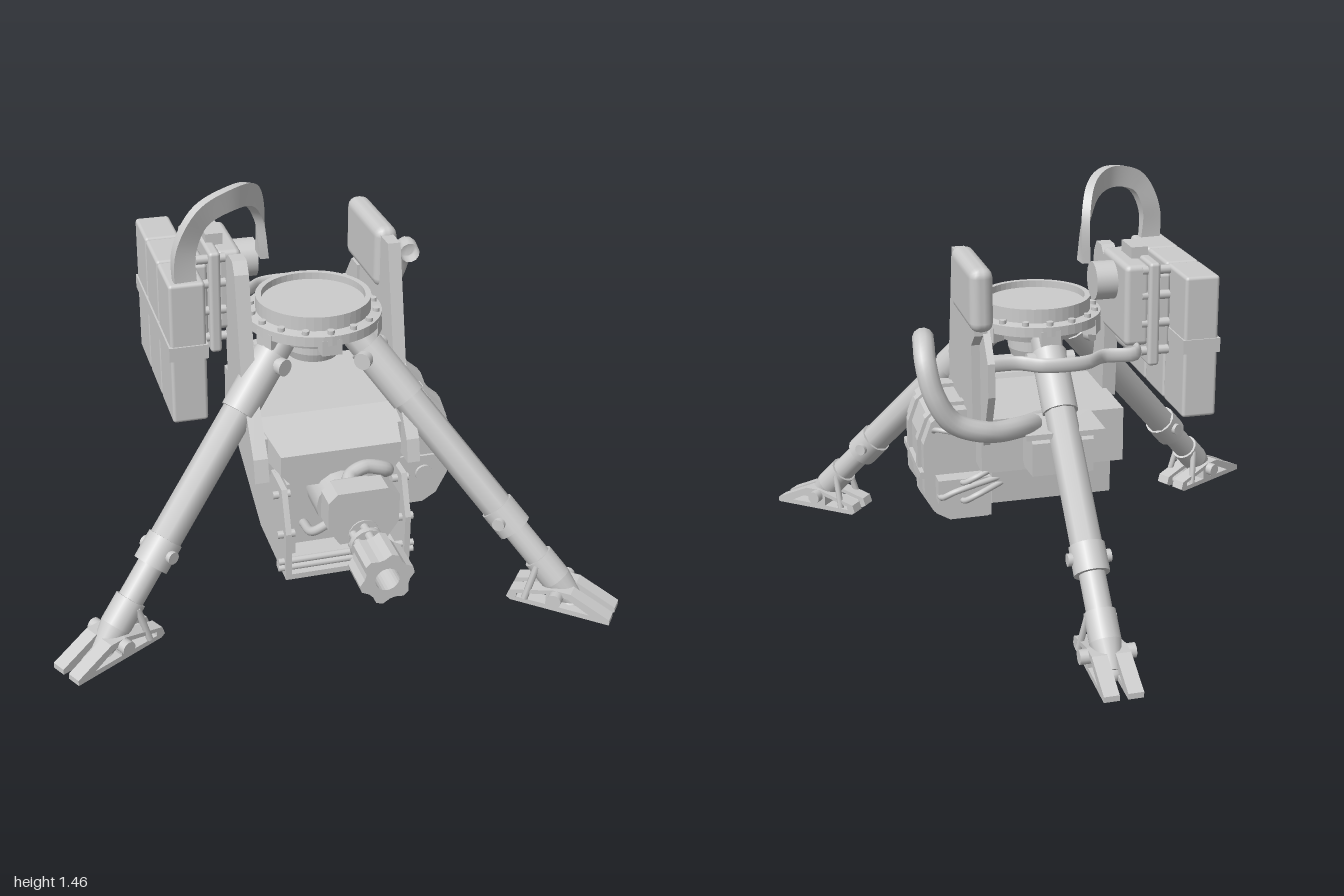
import * as THREE from 'three';
import { RoundedBoxGeometry } from 'three/addons/geometries/RoundedBoxGeometry.js';

const grey = new THREE.MeshStandardMaterial({ color: 0xcccccc, side: THREE.DoubleSide });
const V = (x, y, z) => new THREE.Vector3(x, y, z);

function add(parent, name, geo) {
  const m = new THREE.Mesh(geo, grey);
  m.name = name;
  parent.add(m);
  return m;
}
// Box given by its limits on each axis
function box(p, name, x0, x1, y0, y1, z0, z1, r = 0) {
  const s = [x1 - x0, y1 - y0, z1 - z0];
  const m = add(p, name, r ? new RoundedBoxGeometry(...s, 2, r) : new THREE.BoxGeometry(...s));
  m.position.set((x0 + x1) / 2, (y0 + y1) / 2, (z0 + z1) / 2);
  return m;
}
// Cylinder between two points
function rod(p, name, a, b, r, sides = 16, r2 = r) {
  const d = b.clone().sub(a);
  const m = add(p, name, new THREE.CylinderGeometry(r2, r, d.length(), sides));
  m.position.copy(a).addScaledVector(d, 0.5);
  m.quaternion.setFromUnitVectors(V(0, 1, 0), d.normalize());
  return m;
}
function tube(p, name, pts, r, n = 32) {
  const c = new THREE.CatmullRomCurve3(pts.map(q => V(...q)));
  return add(p, name, new THREE.TubeGeometry(c, n, r, 12));
}
function outline(pts, holes = []) {
  const s = new THREE.Shape(pts.map(q => new THREE.Vector2(...q)));
  holes.forEach(h => s.holes.push(new THREE.Path(h.map(q => new THREE.Vector2(...q)))));
  return s;
}
// Side profile in (z, y), spanning x0..x1
function slab(p, name, pts, x0, x1, holes) {
  const g = new THREE.ExtrudeGeometry(outline(pts, holes), { depth: x1 - x0, bevelEnabled: false });
  return add(p, name, g.rotateY(-Math.PI / 2).translate(x1, 0, 0));
}
// Front profile in (x, y), spanning z0..z1
function prism(p, name, pts, z0, z1, holes) {
  const g = new THREE.ExtrudeGeometry(outline(pts, holes), { depth: z1 - z0, bevelEnabled: false });
  return add(p, name, g.translate(0, 0, z0));
}

// One tripod leg, running out along its local +z
function leg(angle, name) {
  const g = new THREE.Group();
  g.name = name;
  g.position.set(0.05, 0, 0.14);
  g.rotation.y = angle;
  const at = r => V(0, 0.87 - (r - 0.19) * 1.03, r);
  rod(g, 'upperTube', at(0.15), at(0.72), 0.056, 8);
  rod(g, 'hipSleeve', at(0.2), at(0.36), 0.063);
  rod(g, 'kneeCollar', at(0.7), at(0.77), 0.062);
  rod(g, 'lowerTube', at(0.76), at(0.94), 0.045);
  rod(g, 'ankleSleeve', at(0.86), at(0.93), 0.054);
  rod(g, 'ankleTip', at(0.93), at(1.0), 0.054, 16, 0.035);
  rod(g, 'hipPin', V(-0.085, 0.84, 0.22), V(0.085, 0.84, 0.22), 0.03);
  rod(g, 'kneePin', at(0.73).setX(-0.075), at(0.73).setX(0.075), 0.022);
  rod(g, 'anklePin', V(-0.095, 0.075, 0.95), V(0.095, 0.075, 0.95), 0.025);
  const sole = add(g, 'sole', new THREE.SphereGeometry(0.042, 16, 8));
  sole.scale.y = 0.7;
  sole.position.set(0, 0.03, 0.99);
  for (const s of [-1, 1]) {
    // open triangular shoe plates
    slab(g, 'shoePlate',
      [[0.775, 0.03], [0.79, 0.02], [1.14, 0.015], [1.14, 0.035], [1.0, 0.1], [0.94, 0.1], [0.785, 0.06]],
      s * 0.04 - 0.026, s * 0.04 + 0.026,
      [[[0.81, 0.037], [0.915, 0.037], [0.915, 0.077], [0.81, 0.052]],
       [[0.96, 0.037], [1.07, 0.035], [0.99, 0.078], [0.96, 0.078]]]);
    rod(g, 'strut', V(s * 0.065, 0.04, 0.84), at(0.87).setX(s * 0.045), 0.012, 8);
  }
  return g;
}

// Flat feed belt standing on edge along an arched path
function feedBelt(p) {
  const path = new THREE.CatmullRomCurve3([[-0.42, 1.13, 0.27], [-0.42, 1.28, 0.27], [-0.365, 1.385, 0.262],
    [-0.25, 1.42, 0.21], [-0.165, 1.395, 0.13], [-0.122, 1.31, 0.07], [-0.11, 1.15, 0.06]].map(q => V(...q)));
  const g = new THREE.BoxGeometry(1, 0.075, 0.03, 48, 1, 1), pos = g.attributes.position;
  for (let i = 0; i < pos.count; i++) {
    const t = pos.getX(i) + 0.5, a = t * Math.PI / 2;
    const n = V(Math.sin(a), 0, Math.cos(a)), tan = path.getTangentAt(t);
    const w = n.clone().cross(tan).normalize();
    const q = path.getPointAt(t).addScaledVector(w, pos.getY(i)).addScaledVector(n, pos.getZ(i));
    pos.setXYZ(i, q.x, q.y, q.z);
  }
  g.computeVertexNormals();
  add(p, 'feedBelt', g);
}

export function createModel() {
  const root = new THREE.Group();

  // Tripod
  root.add(leg(Math.PI, 'rearLeg'), leg(Math.atan2(0.77, 0.638), 'frontLeftLeg'), leg(Math.atan2(-0.87, 0.5), 'frontRightLeg'));

  // Mounting ring with hub and bolts
  const ring = new THREE.Group();
  ring.name = 'mountingRing';
  ring.position.set(0.05, 0, 0.14);
  root.add(ring);
  const prof = [[0, 0.8], [0.09, 0.8], [0.1, 0.83], [0.1, 0.89], [0.17, 0.89], [0.18, 0.92], [0.238, 0.93], [0.238, 0.965],
    [0.2, 0.97], [0.2, 1.02], [0.18, 1.02], [0.18, 0.995], [0, 0.995]];
  const flat = new THREE.LatheGeometry(prof.map(q => new THREE.Vector2(...q)), 48).toNonIndexed();
  flat.computeVertexNormals();
  add(ring, 'ringBody', flat);
  for (let i = 0; i < 16; i++) {
    const a = i * Math.PI / 8, x = 0.218 * Math.sin(a), z = 0.218 * Math.cos(a);
    rod(ring, 'ringBolt', V(x, 0.96, z), V(x, 0.98, z), 0.013, 8);
  }
  for (let i = 0; i < 6; i++) {
    const a = i * Math.PI / 3;
    const lug = box(ring, 'ringLug', -0.035, 0.035, 0.895, 0.95, 0.19, 0.24);
    lug.rotation.y = a;
    lug.position.set(0.212 * Math.sin(a), 0.922, 0.212 * Math.cos(a));
  }

  // Side plates carrying the body
  slab(root, 'leftSidePlate', [[0.2, 1.2], [-0.18, 1.2], [-0.18, 0.98], [-0.12, 0.93], [-0.12, 0.62], [0.2, 0.62], [0.34, 0.5],
    [0.48, 0.5], [0.46, 0.58], [0.3, 0.79]], 0.295, 0.34);
  slab(root, 'rightSidePlate', [[0.22, 1.15], [0.19, 1.19], [0.13, 1.19], [0.09, 1.15], [0.07, 0.95], [0.1, 0.62], [0.2, 0.62],
    [0.34, 0.5], [0.48, 0.5], [0.46, 0.58], [0.3, 0.79]], -0.245, -0.195);
  box(root, 'plateCover', 0.278, 0.36, 1.0, 1.225, -0.23, 0.13, 0.035);
  slab(root, 'rearArm', [[-0.1, 1.0], [-0.17, 1.0], [-0.25, 0.9], [-0.25, 0.78], [-0.15, 0.57], [-0.1, 0.6]], 0.285, 0.31);
  const brace = tube(root, 'rearBrace', [[-0.22, 0, -0.02], [-0.22, 0, -0.23], [-0.1, 0, -0.23], [-0.03, 0, -0.28],
    [0.12, 0, -0.28], [0.2, 0, -0.23], [0.31, 0, -0.23]], 0.013, 48);
  brace.scale.y = 2;
  brace.position.y = 0.89;

  // Upper body with sloping front, and rear block
  slab(root, 'upperBody', [[-0.12, 0.65], [0.3, 0.65], [0.4, 0.62], [0.4, 0.48], [-0.12, 0.45]], -0.21, 0.31);
  const nose = prism(root, 'bodyNose', [[-0.2, 0.65], [0.3, 0.65], [0.3, 0.53], [0.25, 0.48], [-0.15, 0.48], [-0.2, 0.53]], 0.3, 0.5);
  const np = nose.geometry.attributes.position;
  for (let i = 0; i < np.count; i++) if (np.getZ(i) > 0.4) {
    np.setX(i, 0.05 + (np.getX(i) - 0.05) * 0.84);
    np.setY(i, Math.min(np.getY(i), 0.6));
  }
  nose.geometry.computeVertexNormals();
  slab(root, 'rearBlock', [[-0.1, 0.64], [-0.2, 0.69], [-0.26, 0.6], [-0.26, 0.48], [-0.14, 0.47], [-0.1, 0.5]], -0.06, 0.16);
  box(root, 'rearShelf', -0.09, 0.19, 0.63, 0.65, -0.3, -0.1);

  // Lower housing with open front
  const side = [[0.6, 0.18], [0.25, 0.18], [-0.09, 0.32], [-0.1, 0.48], [0.45, 0.5], [0.54, 0.5], [0.6, 0.36]];
  for (const x of [-0.17, 0.25]) {
    slab(root, 'housingSide', side, x, x + 0.02);
    for (const [z, y] of [[0.56, 0.22], [0.56, 0.34], [0.5, 0.46]])
      rod(root, 'housingBolt', V(x - 0.02, y, z), V(x + 0.04, y, z), 0.014, 8);
  }
  slab(root, 'housingCore', [[0.42, 0.2], [0.25, 0.18], [-0.09, 0.32], [-0.1, 0.48], [0.42, 0.5]], -0.16, 0.26);
  box(root, 'housingFloor', -0.16, 0.26, 0.18, 0.2, 0.25, 0.6);
  for (const y of [0.215, 0.24]) rod(root, 'frontBar', V(-0.19, y, 0.575), V(0.29, y, 0.575), 0.012, 10);
  for (const x of [-0.12, 0.2]) box(root, 'frontPost', x - 0.015, x + 0.015, 0.2, 0.48, 0.42, 0.48);

  // Rotary gun
  const gun = new THREE.Group();
  gun.name = 'gun';
  root.add(gun);
  rod(gun, 'breechDrum', V(0.05, 0.42, 0.4), V(0.05, 0.42, 0.55), 0.1);
  rod(gun, 'breechNeck', V(0.05, 0.43, 0.55), V(0.05, 0.43, 0.76), 0.052);
  prism(gun, 'breechFrame', [[-0.07, 0.56], [-0.04, 0.59], [0.13, 0.59], [0.17, 0.56], [0.17, 0.46], [0.13, 0.4], [-0.03, 0.4],
    [-0.07, 0.46]], 0.67, 0.755);
  box(gun, 'breechRear', -0.03, 0.12, 0.43, 0.56, 0.6, 0.68, 0.02);
  tube(gun, 'driveLine', [[0.2, 0.46, 0.44], [0.2, 0.52, 0.53], [0.12, 0.55, 0.545], [0.06, 0.54, 0.57], [0.04, 0.53, 0.62]], 0.025, 24);
  for (let i = 0; i < 6; i++) {
    const x = 0.05 + 0.042 * Math.sin(i * Math.PI / 3), y = 0.415 + 0.042 * Math.cos(i * Math.PI / 3);
    rod(gun, 'barrel', V(x, y, 0.75), V(x, y, 0.88), 0.015, 10);
  }
  rod(gun, 'barrelClamp', V(0.05, 0.415, 0.79), V(0.05, 0.415, 0.81), 0.06);
  const lobes = [], bore = [];
  for (let i = 0; i < 24; i++) {
    const a = (i + 0.5) * Math.PI / 12, r = [0.09, 0.09, 0.075, 0.075][i % 4];
    lobes.push([0.05 + r * Math.sin(a), 0.415 + r * Math.cos(a)]);
    bore.push([0.05 + 0.04 * Math.sin(a), 0.415 + 0.04 * Math.cos(a)]);
  }
  prism(gun, 'muzzle', lobes, 0.87, 1.0, [bore]);
  rod(gun, 'muzzleBack', V(0.05, 0.415, 0.87), V(0.05, 0.415, 0.9), 0.045);
  for (const [x, y] of [[-0.06, 0.32], [0.16, 0.34], [0.2, 0.4]])
    tube(gun, 'gunHose', [[x, y - 0.04, 0.42], [x, y, 0.54], [0.05 + (x - 0.05) * 0.6, y + 0.05, 0.58], [0.05, 0.43, 0.62]], 0.016, 20);

  // Side tank with straps, on the left
  const tankShape = k => [[0.27, 0.24 - k], [0.41, 0.24 - k], [0.46, 0.27 - k], [0.5 + k, 0.35], [0.5 + k, 0.54],
    [0.47 + k, 0.62], [0.42, 0.66 + k], [0.29, 0.66 + k]];
  prism(root, 'sideTank', tankShape(0), -0.02, 0.335);
  prism(root, 'lowerTankEnd', [[0.27, 0.27], [0.4, 0.27], [0.46, 0.33], [0.46, 0.42], [0.27, 0.42]], -0.08, 0);
  for (const z of [0.03, 0.23]) prism(root, 'tankStrap', tankShape(0.014), z, z + 0.04);
  box(root, 'tankRib', 0.3, 0.515, 0.41, 0.435, -0.02, 0.345);
  for (const [x, y] of [[0.33, 0.41], [0.33, 0.34], [0.41, 0.36]]) {
    rod(root, 'tankPort', V(x, y, 0.32), V(x, y, 0.345), 0.032);
    tube(root, 'tankHose', [[x + 0.03, y, 0], [x + 0.04, y, -0.09], [x, y + 0.03, -0.12], [0.22, y + 0.06, -0.08]], 0.011, 20);
  }
  tube(root, 'tankCable', [[0.34, 0.6, -0.1], [0.42, 0.62, -0.12], [0.46, 0.62, -0.09], [0.46, 0.58, 0]], 0.009, 20);

  // Exhaust pipe
  tube(root, 'exhaustPipe', [[0.1, 0.64, -0.14], [0.2, 0.67, -0.26], [0.33, 0.69, -0.33], [0.45, 0.74, -0.34], [0.51, 0.84, -0.34],
    [0.53, 0.94, -0.31], [0.525, 0.99, -0.25], [0.515, 0.99, -0.18]], 0.037, 56);

  // Ribbed storage pack on the right
  const pack = new THREE.Group();
  pack.name = 'storagePack';
  root.add(pack);
  box(pack, 'packCore', -0.475, -0.37, 0.68, 1.165, -0.315, 0.295);
  for (let i = 0; i < 3; i++) for (const y of [0.67, 0.925]) {
    const z = -0.325 + i * 0.212;
    box(pack, 'packPanel', -0.482, -0.36, y, y + 0.25, z, z + 0.205, 0.012);
  }
  box(pack, 'packBand', -0.488, -0.355, 0.905, 0.955, -0.33, 0.31);

  // Feed gearbox between pack and right plate
  box(root, 'gearboxBacking', -0.36, -0.31, 0.86, 1.15, -0.17, 0.1, 0.012);
  box(root, 'gearboxPlate', -0.31, -0.27, 0.83, 1.2, -0.21, 0.13, 0.012);
  box(root, 'gearboxBody', -0.28, -0.19, 0.9, 1.19, -0.19, 0.1, 0.02);
  box(root, 'gearboxLug', -0.3, -0.24, 1.15, 1.23, -0.09, 0.03);
  rod(root, 'feedMotor', V(-0.27, 1.105, -0.035), V(-0.115, 1.105, -0.035), 0.068, 24);
  for (const y of [0.88, 0.98, 1.08, 1.17]) for (const z of [-0.18, 0.1])
    rod(root, 'gearboxBolt', V(-0.35, y, z), V(-0.25, y, z), 0.016, 10);
  feedBelt(root);

  return root;
}
